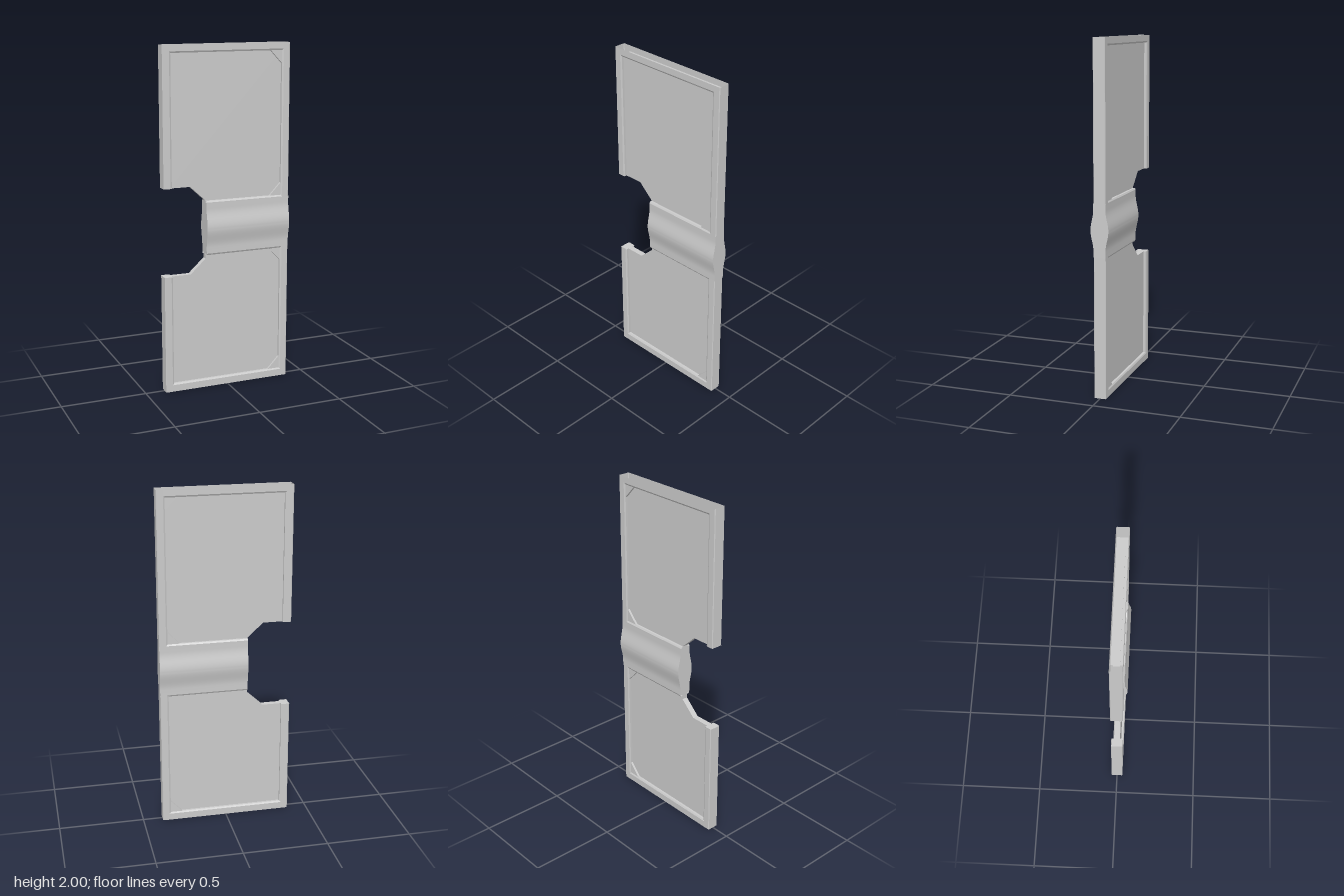
import * as THREE from 'three';
import { toCreasedNormals } from 'three/addons/utils/BufferGeometryUtils.js';

const grey = new THREE.MeshStandardMaterial({ color: 0xcccccc, side: THREE.DoubleSide });
const W = 0.385;   // half width
const IN = 0.345;  // inner edge of the stiles
const T = 0.035;   // half thickness of the frame
const P = 0.017;   // half thickness of the panels

function add(group, name, geometry) {
  const mesh = new THREE.Mesh(geometry, grey);
  mesh.name = name;
  group.add(mesh);
  return mesh;
}

// Skin a list of equally long cross-sections with flat quads
function skin(rows) {
  const pos = [];
  for (let i = 0; i < rows.length - 1; i++) {
    for (let j = 0; j < rows[i].length - 1; j++) {
      const a = rows[i][j], b = rows[i + 1][j], c = rows[i + 1][j + 1], d = rows[i][j + 1];
      pos.push(...a, ...b, ...c, ...a, ...c, ...d);
    }
  }
  const g = new THREE.BufferGeometry();
  g.setAttribute('position', new THREE.Float32BufferAttribute(pos, 3));
  g.computeVertexNormals();
  return g;
}

function prism(points, depth) {
  const shape = new THREE.Shape(points.map(([x, y]) => new THREE.Vector2(x, y)));
  const g = new THREE.ExtrudeGeometry(shape, { depth, bevelEnabled: false });
  return g.translate(0, 0, -depth / 2);
}

// Hollow stile: outer wall with front and back faces, open at its ends
function stile(side, y0, y1) {
  const c = 0.004;
  const section = [[IN, T], [W - c, T], [W, T - c], [W, c - T], [W - c, -T], [IN, -T]];
  return skin([y0, y1].map(y => section.map(([x, z]) => [side * x, y, z])));
}

// One leaf: outer = frame edge, rail = inner edge of the rail,
// mid = edge at the centre band, cut = level of the side recess
function leaf(name, outer, rail, mid, cut) {
  const group = new THREE.Group();
  group.name = name;
  const dir = Math.sign(rail - mid);

  add(group, 'rightStile', stile(-1, cut, outer));
  add(group, 'leftStile', stile(1, mid, outer));
  add(group, 'stileEnd', new THREE.BoxGeometry(W - IN + 0.008, 0.002, 2 * T - 0.004)
    .translate(-(W + IN) / 2 + 0.004, cut + dir * 0.001, 0));

  // Open channel along the top or bottom
  for (const z of [T, -T]) {
    add(group, 'railFace', skin([-IN, IN].map(x => [[x, rail, z], [x, outer, z]])));
  }

  // Stepped lip around the panel
  const step = [[0, T], [0.009, 0.03], [0.009, P], [0.009, -P], [0.009, -0.03], [0, -T]];
  const path = d => [
    [-IN + d, cut], [-IN + d, rail - dir * d], [IN - d, rail - dir * d],
    [IN - d, mid + dir * d], [-0.13, mid + dir * d],
  ];
  add(group, 'panelLip', skin(step.map(([d, z]) => path(d).map(([x, y]) => [x, y, z]))));

  // Recessed panel with its cut corner
  add(group, 'panel', prism([
    [-IN, cut], [-0.222, cut], [-0.13, cut - dir * 0.085], [-0.13, mid],
    [IN, mid], [IN, rail], [-IN, rail],
  ], 2 * P));

  // Corner gussets
  for (const [y, s] of [[rail, -dir], [mid, dir]]) {
    add(group, 'cornerGusset', prism([[IN, y], [IN - 0.087, y], [IN, y + s * 0.092]], 0.06));
  }
  return group;
}

// Swelling cross band, rounded on the front and back
function band() {
  const half = [[T, 0.81]];
  for (let i = 0; i <= 24; i++) {
    const t = i / 24;
    half.push([T + 0.0085 * (1 - Math.cos(t * Math.PI * 2)), 0.845 + t * 0.23]);
  }
  half.push([T, 1.11]);
  const outline = [...half, ...half.map(([z, y]) => [-z, y]).reverse()];
  const g = prism(outline, W + 0.13);
  g.rotateY(Math.PI / 2).translate((W - 0.13) / 2, 0, 0);
  return toCreasedNormals(g, 0.5);
}

export function createModel() {
  const model = new THREE.Group();
  model.name = 'framedPanel';
  model.add(leaf('upperLeaf', 2, 1.965, 1.11, 1.205));
  model.add(leaf('lowerLeaf', 0, 0.04, 0.81, 0.693));
  add(model, 'crossBand', band());
  return model;
}
